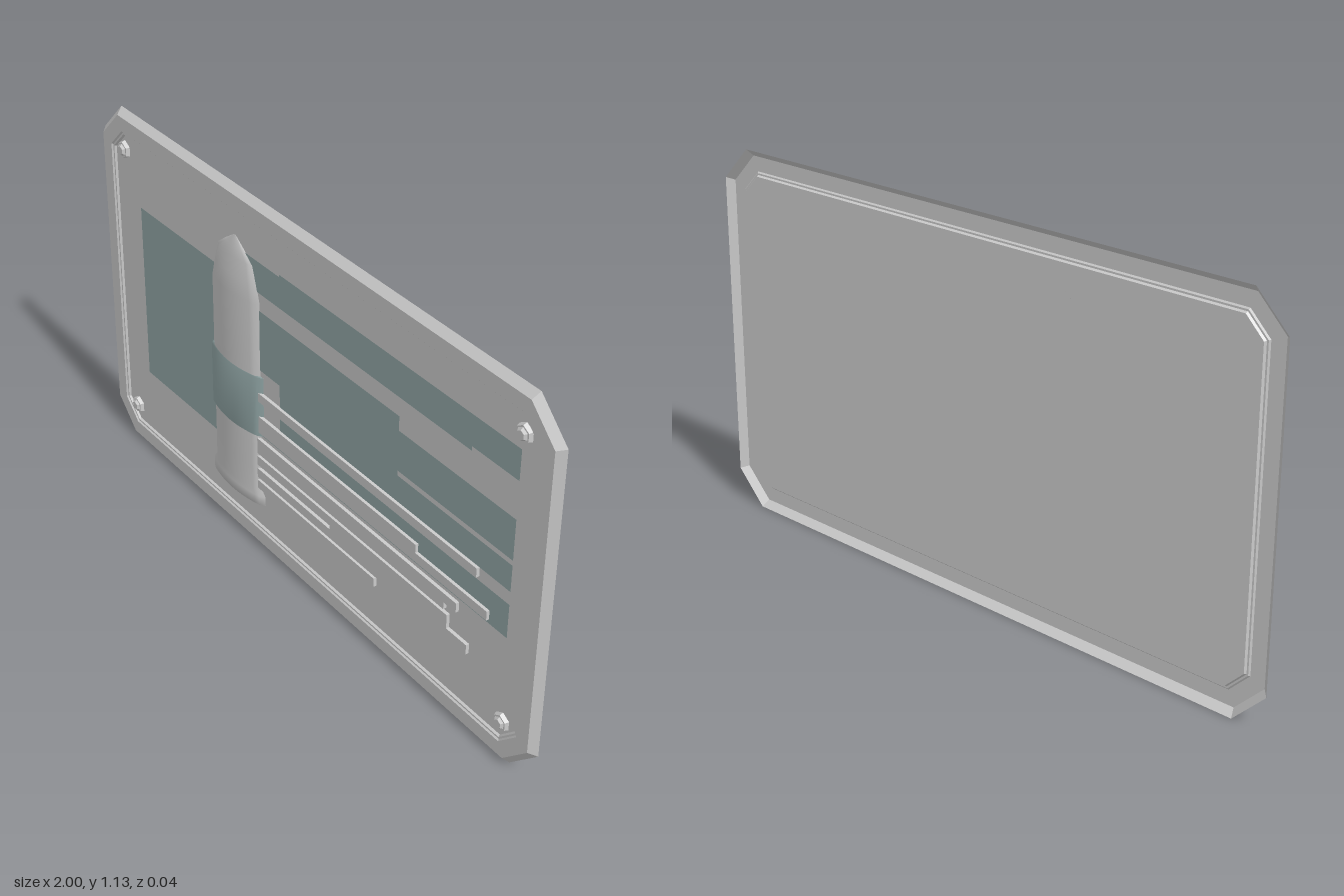
import * as THREE from 'three';

const W = 1, H = 0.565, CUT = 0.1, PANEL = -0.01;
const grey = new THREE.MeshStandardMaterial({ color: 0xcccccc, side: THREE.DoubleSide });
const greyFlat = new THREE.MeshStandardMaterial({ color: 0xcccccc, side: THREE.DoubleSide, flatShading: true });
const teal = new THREE.MeshStandardMaterial({ color: 0x93a8a8, side: THREE.DoubleSide });

function add(parent, name, geometry, material, x = 0, y = 0, z = 0) {
  const mesh = new THREE.Mesh(geometry, material);
  mesh.name = name;
  mesh.position.set(x, y, z);
  parent.add(mesh);
  return mesh;
}

// Surface through rows of points that all have the same length
function loft(rows, closed) {
  const n = rows[0].length, pos = rows.flat(2), index = [];
  for (let r = 0; r < rows.length - 1; r++) {
    for (let i = 0; i < (closed ? n : n - 1); i++) {
      const a = r * n + i, b = r * n + (i + 1) % n;
      index.push(a, b, b + n, a, b + n, a + n);
    }
  }
  const g = new THREE.BufferGeometry();
  g.setAttribute('position', new THREE.Float32BufferAttribute(pos, 3));
  g.setIndex(index);
  g.computeVertexNormals();
  return g;
}

// Rectangle with cut corners, counter-clockwise, moved inwards by d
function octagon(d, z) {
  const w = W - d, h = H - d, c = CUT - 0.586 * d;
  return [[w, -h + c], [w, h - c], [w - c, h], [-w + c, h], [-w, h - c], [-w, -h + c], [-w + c, -h], [w - c, -h]]
    .map(([x, y]) => [x, y + H, z]);
}

// Domed cross-sections: [y, half width, front z]
function dome(sections, cx, bottom = PANEL) {
  const N = 16;
  return loft(sections.map(([y, w, z]) => Array.from({ length: N + 1 }, (_, i) => {
    const t = (i / N) * 2 - 1;
    return [cx + t * w, y, bottom + (z - bottom) * (1 - 0.75 * t * t) * (Math.abs(t) === 1 ? 0 : 1)];
  })), false);
}

export function createModel() {
  const model = new THREE.Group();
  model.name = 'plaque';

  // Pressed frame, open at the back, and the sunken panel inside it
  add(model, 'frame', loft([octagon(0, -0.02), octagon(0.02, 0), octagon(0.064, 0), octagon(0.068, -0.004),
    octagon(0.073, -0.004), octagon(0.077, PANEL)], true), greyFlat);
  const outline = new THREE.Shape(octagon(0.077, 0).map(([x, y]) => new THREE.Vector2(x, y)));
  add(model, 'panel', new THREE.ShapeGeometry(outline), grey, 0, 0, PANEL);

  // Painted fields: x0, x1, y0, y1
  const fields = new THREE.Group();
  fields.name = 'paintedFields';
  model.add(fields);
  [
    [-0.8, -0.31, 0.285, 0.85],
    [-0.26, -0.1, 0.855, 0.95],
    [-0.1, 0.865, 0.868, 0.957],
    [-0.1, 0.695, 0.855, 0.868],
    [-0.31, 0.42, 0.61, 0.8],
    [0.42, 0.865, 0.635, 0.757],
    [-0.1, 0.42, 0.54, 0.61],
    [0.42, 0.865, 0.54, 0.62],
    [-0.1, 0.865, 0.395, 0.5],
    [-0.31, -0.1, 0.395, 0.46],
  ].forEach(([x0, x1, y0, y1]) =>
    add(fields, 'paintedField', new THREE.PlaneGeometry(x1 - x0, y1 - y0), teal,
      (x0 + x1) / 2, (y0 + y1) / 2, PANEL + 0.001));

  // Raised bars beside the shell: x0, x1, y0, y1
  const bars = new THREE.Group();
  bars.name = 'raisedBars';
  model.add(bars);
  [
    [-0.2, 0.75, 0.512, 0.54],
    [-0.2, 0.515, 0.436, 0.462],
    [-0.2, 0.797, 0.408, 0.436],
    [-0.2, 0.683, 0.355, 0.384],
    [-0.2, 0.635, 0.333, 0.355],
    [-0.2, 0.65, 0.293, 0.323],
    [0.147, 0.65, 0.28, 0.293],
    [-0.2, 0.73, 0.25, 0.28],
    [-0.2, 0.347, 0.212, 0.24],
  ].forEach(([x0, x1, y0, y1]) =>
    add(bars, 'raisedBar', new THREE.BoxGeometry(x1 - x0, y1 - y0, 0.01), grey,
      (x0 + x1) / 2, (y0 + y1) / 2, PANEL + 0.005));

  // Half-relief shell with pointed nose and flared foot
  const cx = -0.308;
  add(model, 'shellRelief', dome([
    [0.155, 0.132, PANEL], [0.155, 0.132, 0.017], [0.185, 0.132, 0.017], [0.2, 0.118, 0.015],
    [0.28, 0.116, 0.016], [0.6, 0.115, 0.017], [0.82, 0.114, 0.017], [0.875, 0.1, 0.012],
    [0.925, 0.084, 0.005], [0.955, 0.045, -0.001], [0.983, 0.004, PANEL],
  ], cx), grey);

  // Coloured band wrapped round the shell
  add(model, 'band', dome([
    [0.395, 0.128, PANEL], [0.395, 0.128, 0.02], [0.59, 0.128, 0.02], [0.59, 0.128, PANEL],
  ], cx), teal);

  // Hexagonal bolts in the corners
  for (const x of [-0.873, 0.873]) {
    for (const y of [0.128, 1.008]) {
      const bolt = new THREE.Group();
      bolt.name = 'bolt';
      bolt.position.set(x, y, PANEL);
      model.add(bolt);
      const head = new THREE.CylinderGeometry(0.024, 0.028, 0.011, 6).rotateX(Math.PI / 2);
      add(bolt, 'boltHead', head, greyFlat, 0, 0, 0.0055);
      const cap = new THREE.CylinderGeometry(0.013, 0.019, 0.007, 6).rotateX(Math.PI / 2);
      add(bolt, 'boltCap', cap, greyFlat, 0, 0, 0.0145);
    }
  }
  return model;
}
